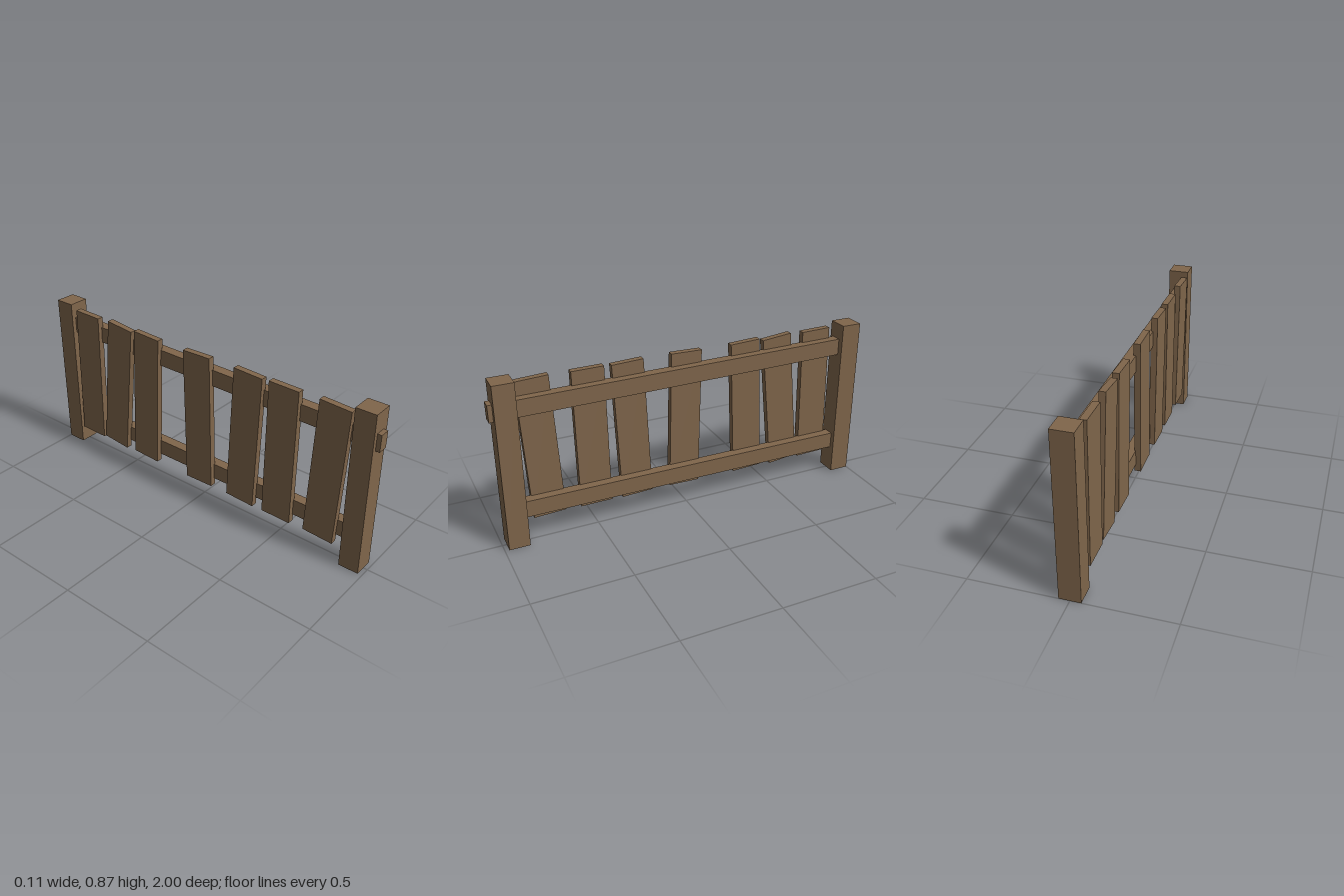
import * as THREE from 'three';

export function createModel() {
  const group = new THREE.Group();
  const wood = new THREE.MeshStandardMaterial({ color: 0x80664b, flatShading: true });

  // A wooden board: size and centre per axis, leaning about x
  function board(name, [w, h, d], [x, y, z], lean = 0) {
    const mesh = new THREE.Mesh(new THREE.BoxGeometry(w, h, d), wood);
    mesh.name = name;
    mesh.position.set(x, y, z);
    mesh.rotation.x = lean;
    group.add(mesh);
  }

  // End posts
  board('frontPost', [0.108, 0.87, 0.106], [0, 0.435, 0.925]);
  board('backPost', [0.108, 0.87, 0.106], [0, 0.435, -0.947]);

  // Rails; the upper one pokes out through the front post
  board('topRail', [0.054, 0.088, 1.91], [-0.004, 0.734, 0.045], 0.011);
  board('bottomRail', [0.054, 0.087, 1.82], [0, 0.186, 0], -0.0025);

  // Crooked pickets: z of the centre line at the top and at the bottom
  const pickets = [
    [0.778, 0.741], [0.505, 0.495], [0.302, 0.27], [-0.013, 0.003],
    [-0.345, -0.377], [-0.532, -0.607], [-0.773, -0.789],
  ];
  const height = 0.74;
  pickets.forEach(([top, bottom], i) => {
    const lean = Math.atan2(top - bottom, height);
    board(`picket${i + 1}`, [0.034, height, 0.166], [-0.037, 0.475, (top + bottom) / 2], lean);
  });

  return group;
}
